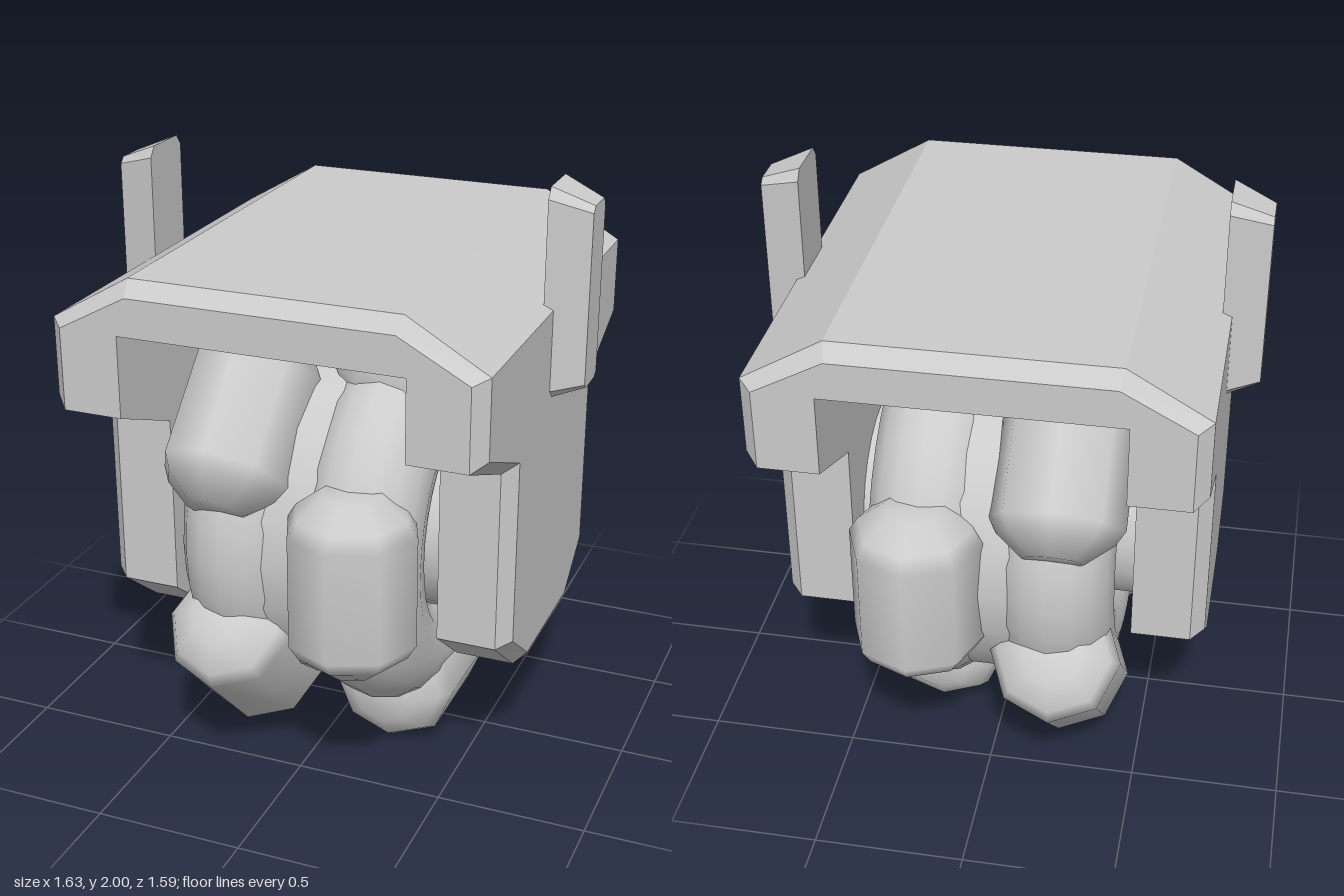
import * as THREE from 'three';

const material = new THREE.MeshStandardMaterial({ color: 0xcccccc });
const flatMaterial = new THREE.MeshStandardMaterial({ color: 0xcccccc, flatShading: true });

// Mirrors the right half of an outline (listed bottom to top) into a closed counter-clockwise loop.
const mirrored = (half) => [...half, ...half.slice().reverse().map(([u, v]) => [-u, v])];

// Skins outlines with equal point counts along z and caps both ends.
function loft(sections) {
  const n = sections[0].outline.length;
  const positions = [];
  const index = [];
  for (const { at, outline } of sections) {
    for (const [u, v] of outline) positions.push(u, v, at);
  }
  for (let s = 0; s < sections.length - 1; s++) {
    for (let i = 0; i < n; i++) {
      const a = s * n + i;
      const b = s * n + (i + 1) % n;
      index.push(a, b, b + n, a, b + n, a + n);
    }
  }
  const last = (sections.length - 1) * n;
  const capOf = (outline) => THREE.ShapeUtils.triangulateShape(outline.map(([u, v]) => new THREE.Vector2(u, v)), []);
  for (const [a, b, c] of capOf(sections[0].outline)) index.push(c, b, a);
  for (const [a, b, c] of capOf(sections[sections.length - 1].outline)) index.push(last + a, last + b, last + c);
  const geometry = new THREE.BufferGeometry();
  geometry.setAttribute('position', new THREE.Float32BufferAttribute(positions, 3));
  geometry.setIndex(index);
  const flat = geometry.toNonIndexed();
  flat.computeVertexNormals();
  return flat;
}

export function createModel() {
  const model = new THREE.Group();
  const add = (parent, name, geometry, mat = material) => {
    const mesh = new THREE.Mesh(geometry, mat);
    mesh.name = name;
    parent.add(mesh);
    return mesh;
  };

  // Housing: bevelled roof over two bevelled side plates
  const housing = new THREE.Group();
  housing.name = 'housing';
  housing.position.z = 0.008;
  model.add(housing);

  const roofFull = mirrored([[0.71, 1.59], [0.71, 1.61], [0.445, 1.765]]);
  const roofInset = mirrored([[0.665, 1.59], [0.665, 1.591], [0.435, 1.715]]);
  add(housing, 'roof', loft([
    { at: -0.767, outline: roofInset },
    { at: -0.722, outline: roofFull },
    { at: 0.722, outline: roofFull },
    { at: 0.767, outline: roofInset },
  ]), flatMaterial);

  const plateFull = mirrored([[0.24, 0.41], [0.45, 0.575], [0.45, 1.19], [0.767, 1.32], [0.767, 1.591]]);
  const plateInset = mirrored([[0.225, 0.455], [0.405, 0.592], [0.405, 1.217], [0.722, 1.35], [0.722, 1.605]]);
  const plate = loft([
    { at: 0.468, outline: plateFull },
    { at: 0.665, outline: plateFull },
    { at: 0.71, outline: plateInset },
  ]);

  // Upright horns on the outside of the plates
  const horn = loft([
    { at: 0.68, outline: mirrored([[0.08, 1.3], [0.107, 1.33], [0.107, 1.965], [0.08, 2]]) },
    { at: 0.815, outline: mirrored([[0.05, 1.35], [0.07, 1.365], [0.07, 1.925], [0.05, 1.945]]) },
  ]);

  for (const [side, sign] of [['left', 1], ['right', -1]]) {
    const turn = sign * Math.PI / 2;
    add(housing, side + 'Plate', plate, flatMaterial).rotation.y = turn;
    add(housing, side + 'Horn', horn, flatMaterial).rotation.y = turn;
  }

  // Wheel: axle, core and two round tyres
  const wheel = new THREE.Group();
  wheel.name = 'wheel';
  wheel.position.y = 0.793;
  model.add(wheel);
  add(wheel, 'axle', new THREE.CylinderGeometry(0.31, 0.31, 0.98, 24).rotateZ(Math.PI / 2));
  add(wheel, 'core', new THREE.CylinderGeometry(0.61, 0.61, 0.36, 24).rotateZ(Math.PI / 2));
  const tyre = new THREE.TorusGeometry(0.46, 0.2, 16, 32).rotateY(Math.PI / 2);

  // Eight-sided tread pads with tapered ends, staggered between the two tyres
  const padProfile = [[0, -0.31], [0.1, -0.31], [0.19, -0.24], [0.22, -0.19], [0.22, 0.19], [0.19, 0.24], [0.1, 0.31], [0, 0.31]];
  const pad = new THREE.LatheGeometry(padProfile.map(([r, y]) => new THREE.Vector2(r, y)), 8);
  pad.translate(0, 0, 0.575);
  for (const [side, x, phase] of [['left', 0.222, 0], ['right', -0.23, Math.PI / 4]]) {
    add(wheel, side + 'Tyre', tyre).position.x = Math.sign(x) * 0.21;
    for (let i = 0; i < 4; i++) {
      const mesh = add(wheel, side + 'Pad' + (i + 1), pad);
      mesh.position.x = x;
      mesh.rotation.x = phase + i * Math.PI / 2;
    }
  }
  return model;
}
